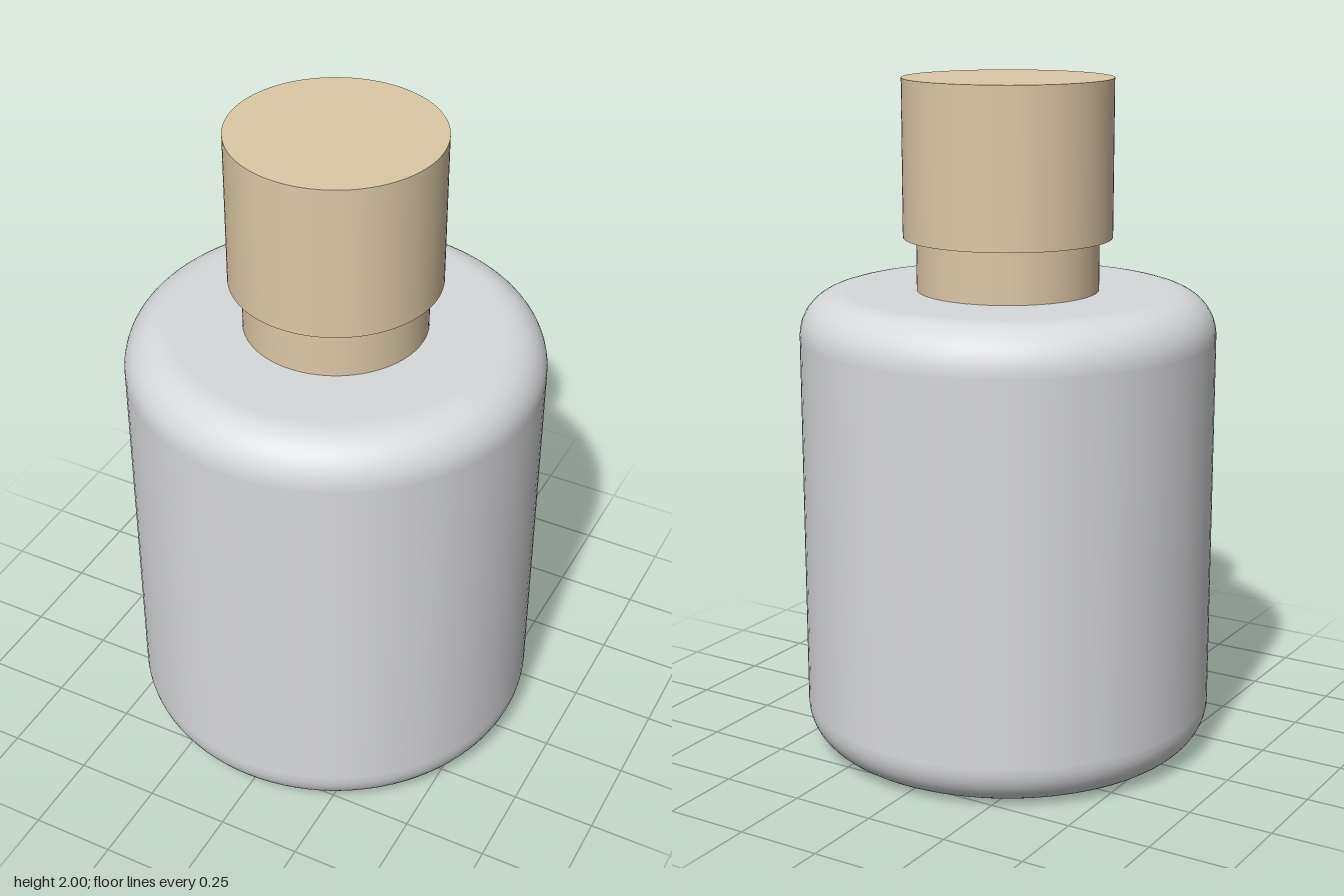
import * as THREE from 'three';

const SEGMENTS = 96;

// Closed profile of a cylinder with rounded rims, from bottom centre to top centre
function roundedProfile(radius, height, fillet, steps = 12) {
  const inner = radius - fillet;
  const points = [new THREE.Vector2(0, 0), new THREE.Vector2(inner - 0.005, 0)];
  const addArc = (cy, start) => {
    for (let i = 0; i <= steps; i++) {
      const a = start + (i / steps) * Math.PI / 2;
      points.push(new THREE.Vector2(inner + fillet * Math.cos(a), cy + fillet * Math.sin(a)));
    }
  };
  addArc(fillet, -Math.PI / 2);
  // support points keep the straight wall and flat ends evenly shaded
  points.push(new THREE.Vector2(radius, fillet + 0.005));
  points.push(new THREE.Vector2(radius, height - fillet - 0.005));
  addArc(height - fillet, 0);
  points.push(new THREE.Vector2(inner - 0.005, height), new THREE.Vector2(0, height));
  return points;
}

export function createModel() {
  const glass = new THREE.MeshStandardMaterial({ color: 0xd8d9db });
  glass.name = 'pale grey';
  const wood = new THREE.MeshStandardMaterial({ color: 0xdcc8a6 });
  wood.name = 'light tan';

  const group = new THREE.Group();
  group.name = 'bottle';

  // Body with rounded shoulder and base
  const body = new THREE.Mesh(
    new THREE.LatheGeometry(roundedProfile(0.613, 1.385, 0.128), SEGMENTS), glass);
  body.name = 'body';
  group.add(body);

  // Neck and cap
  const addCylinder = (name, radius, bottom, top) => {
    const mesh = new THREE.Mesh(
      new THREE.CylinderGeometry(radius, radius, top - bottom, SEGMENTS), wood);
    mesh.name = name;
    mesh.position.y = (bottom + top) / 2;
    group.add(mesh);
  };
  addCylinder('neck', 0.268, 1.385, 1.54);
  addCylinder('cap', 0.307, 1.54, 2);

  return group;
}
